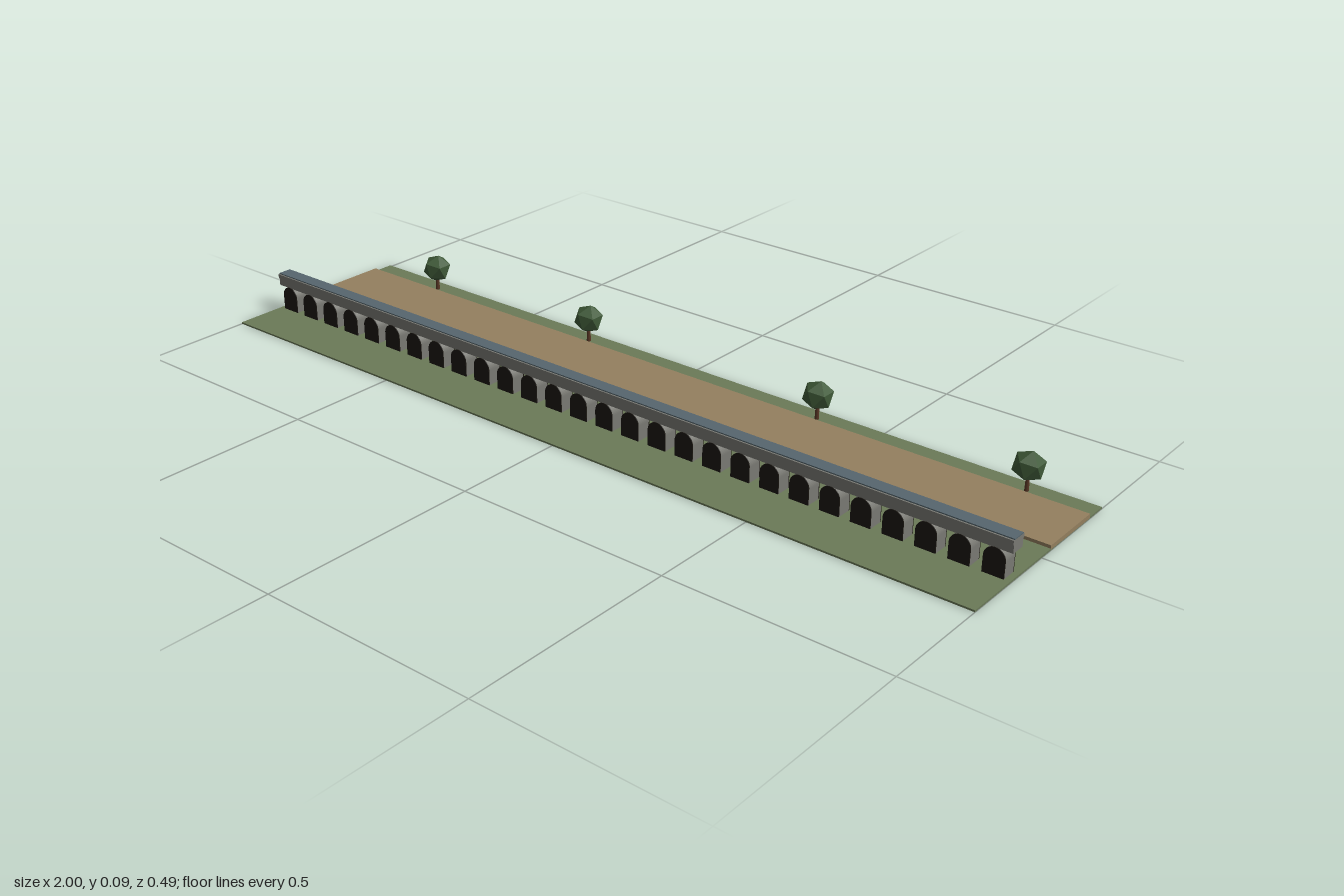
import * as THREE from 'three';

const mat = (color, flat = false) => new THREE.MeshStandardMaterial({ color, flatShading: flat });
const grass = mat(0x6b7a58), dirt = mat(0x94805f), stone = mat(0x7a7a74), water = mat(0x56666e);
const shadow = mat(0x1c1812), bark = mat(0x5a3826), leaf = mat(0x3f5a38, true);

function add(parent, name, geometry, material, x = 0, y = 0, z = 0) {
  const mesh = new THREE.Mesh(geometry, material);
  mesh.name = name;
  mesh.position.set(x, y, z);
  parent.add(mesh);
  return mesh;
}

// box given by its y and z ranges, centred on x
function slab(parent, name, length, y0, y1, z0, z1, material) {
  return add(parent, name, new THREE.BoxGeometry(length, y1 - y0, z1 - z0), material, 0, (y0 + y1) / 2, (z0 + z1) / 2);
}

// upright block with a semicircular top
function archGeometry(width, height, depth) {
  const r = width / 2;
  const s = new THREE.Shape();
  s.moveTo(-r, 0);
  s.lineTo(r, 0);
  s.lineTo(r, height - r);
  s.absarc(0, height - r, r, 0, Math.PI, false);
  s.lineTo(-r, 0);
  return new THREE.ExtrudeGeometry(s, { depth, bevelEnabled: false, curveSegments: 12 }).translate(0, 0, -depth / 2);
}

// icosahedron turned so one corner of its six-sided outline points up
function crownGeometry(radius) {
  const t = (1 + Math.sqrt(5)) / 2;
  const X = new THREE.Vector3(1, 1, 1).normalize();
  const Y = new THREE.Vector3(-1, t, 0);
  Y.addScaledVector(X, -Y.dot(X)).normalize();
  const Z = new THREE.Vector3().crossVectors(X, Y);
  const turn = new THREE.Matrix4().makeBasis(X, Y, Z).transpose();
  return new THREE.IcosahedronGeometry(radius, 0).applyMatrix4(turn);
}

export function createModel() {
  const model = new THREE.Group();
  model.name = 'aqueduct';

  // ground and road
  slab(model, 'ground', 2, 0, 0.004, -0.243, 0.243, grass);
  slab(model, 'road', 2, 0.001, 0.011, -0.192, -0.035, dirt);

  // row of arches with dark faces
  const arcade = new THREE.Group();
  arcade.name = 'arcade';
  model.add(arcade);
  const count = 28, pitch = 2 / count, zMid = 0.101;
  const block = archGeometry(0.046, 0.06, 0.033);
  const face = archGeometry(0.046, 0.06, 0.002);
  for (let i = 0; i < count; i++) {
    const x = -1 + (i + 0.5) * pitch;
    add(arcade, 'archBlock', block, stone, x, 0.003, zMid);
    for (const side of [-1, 1]) add(arcade, 'archFace', face, shadow, x, 0.003, zMid + side * 0.0175);
  }

  // channel carried on the arches
  slab(model, 'beam', 2, 0.062, 0.08, 0.084, 0.118, stone);
  slab(model, 'cornice', 2, 0.08, 0.09, 0.0815, 0.1205, stone);
  slab(model, 'waterChannel', 2, 0.09, 0.0925, 0.085, 0.117, water);

  // roadside trees
  const trunk = new THREE.CylinderGeometry(0.004, 0.005, 0.034, 8);
  const crown = crownGeometry(0.0353);
  for (const x of [-0.79, -0.29, 0.355, 0.855]) {
    const tree = new THREE.Group();
    tree.name = 'tree';
    tree.position.set(x, 0, -0.208);
    model.add(tree);
    add(tree, 'trunk', trunk, bark, 0, 0.02, 0);
    add(tree, 'crown', crown, leaf, 0, 0.06, 0);
  }
  return model;
}
